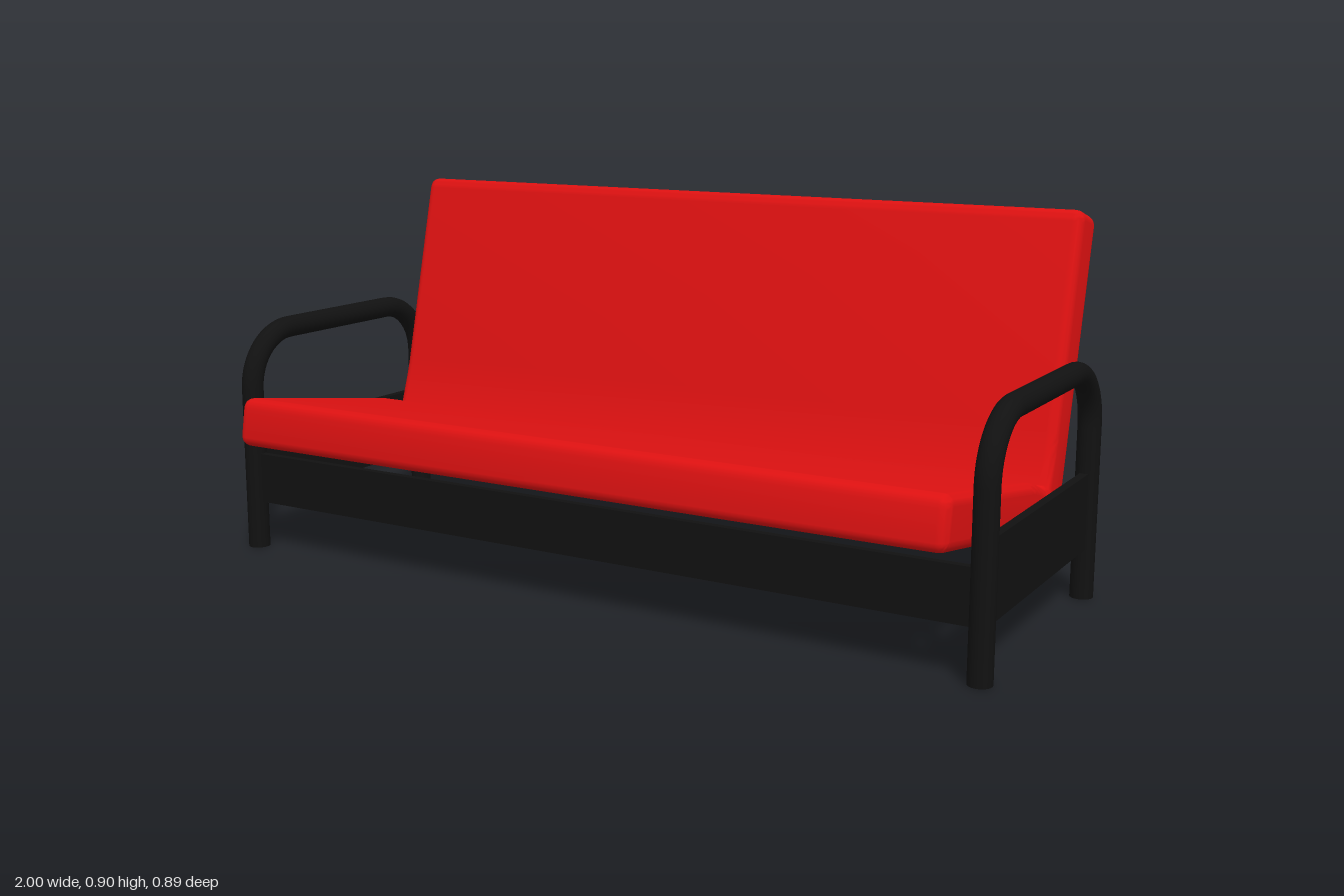
import * as THREE from 'three';
import { toCreasedNormals } from 'three/addons/utils/BufferGeometryUtils.js';

const V = (x, y, z) => new THREE.Vector3(x, y, z);

// Closed outline through [x, y, cornerRadius] points with rounded corners
function roundedShape(points) {
  const shape = new THREE.Shape();
  const n = points.length;
  points.forEach(([x, y, r], i) => {
    const p = new THREE.Vector2(x, y);
    const toward = (q) => new THREE.Vector2(q[0], q[1]).sub(p).setLength(r).add(p);
    const a = toward(points[(i + n - 1) % n]);
    const b = toward(points[(i + 1) % n]);
    if (i === 0) shape.moveTo(a.x, a.y);
    else shape.lineTo(a.x, a.y);
    shape.quadraticCurveTo(x, y, b.x, b.y);
  });
  shape.closePath();
  return shape;
}

export function createModel() {
  const group = new THREE.Group();
  const red = new THREE.MeshStandardMaterial({ color: 0xdd1111 });
  const black = new THREE.MeshStandardMaterial({ color: 0x111111 });

  const add = (name, geometry, material, x = 0, y = 0, z = 0) => {
    const mesh = new THREE.Mesh(geometry, material);
    mesh.name = name;
    mesh.position.set(x, y, z);
    group.add(mesh);
    return mesh;
  };

  // Folded mattress: side profile (z, y) running from the seat front to the backrest
  const profile = roundedShape([
    [0.452, 0.29, 0.03],
    [0.432, 0.408, 0.03],
    [-0.1, 0.315, 0.03],
    [-0.178, 0.286, 0.006],
    [-0.212, 0.386, 0.03],
    [-0.338, 0.902, 0.03],
    [-0.45, 0.872, 0.03],
    [-0.268, 0.166, 0.03],
  ]);
  const width = 1.86, bevel = 0.024;
  const mattress = new THREE.ExtrudeGeometry(profile, {
    depth: width - 2 * bevel, curveSegments: 6,
    bevelThickness: bevel, bevelSize: bevel, bevelOffset: -bevel, bevelSegments: 5,
  });
  mattress.translate(0, 0, bevel - width / 2).rotateY(-Math.PI / 2);
  add('mattress', toCreasedNormals(mattress, 0.7), red);

  // Bent tube running up the front leg, along the armrest and down the back leg
  const front = 0.345, back = -0.322, top = 0.55, bend = 0.14, tube = 0.027, side = 0.973;
  const path = new THREE.CurvePath();
  const k = bend * 0.448; // handle inset for a quarter circle
  path.add(new THREE.LineCurve3(V(0, 0, front), V(0, top - bend, front)));
  path.add(new THREE.CubicBezierCurve3(V(0, top - bend, front), V(0, top - k, front),
    V(0, top, front - k), V(0, top, front - bend)));
  path.add(new THREE.LineCurve3(V(0, top, front - bend), V(0, top, back + bend)));
  path.add(new THREE.CubicBezierCurve3(V(0, top, back + bend), V(0, top, back + k),
    V(0, top - k, back), V(0, top - bend, back)));
  path.add(new THREE.LineCurve3(V(0, top - bend, back), V(0, 0, back)));
  const armTube = new THREE.TubeGeometry(path, 120, tube, 20);
  const footCap = new THREE.CircleGeometry(tube, 20).rotateX(Math.PI / 2);

  for (const [label, s] of [['left', 1], ['right', -1]]) {
    add(label + 'ArmFrame', armTube, black, s * side);
    add(label + 'FrontFoot', footCap, black, s * side, 0, front);
    add(label + 'BackFoot', footCap, black, s * side, 0, back);
    // Side panel between the legs
    add(label + 'SidePanel', new THREE.BoxGeometry(0.02, 0.18, front - back),
      black, s * side, 0.21, (front + back) / 2);
  }

  // Long rails joining the two arm frames
  for (const [name, z] of [['frontRail', front], ['backRail', back]]) {
    add(name, new THREE.BoxGeometry(2 * side, 0.125, 0.018), black, 0, 0.1825, z);
  }

  return group;
}
